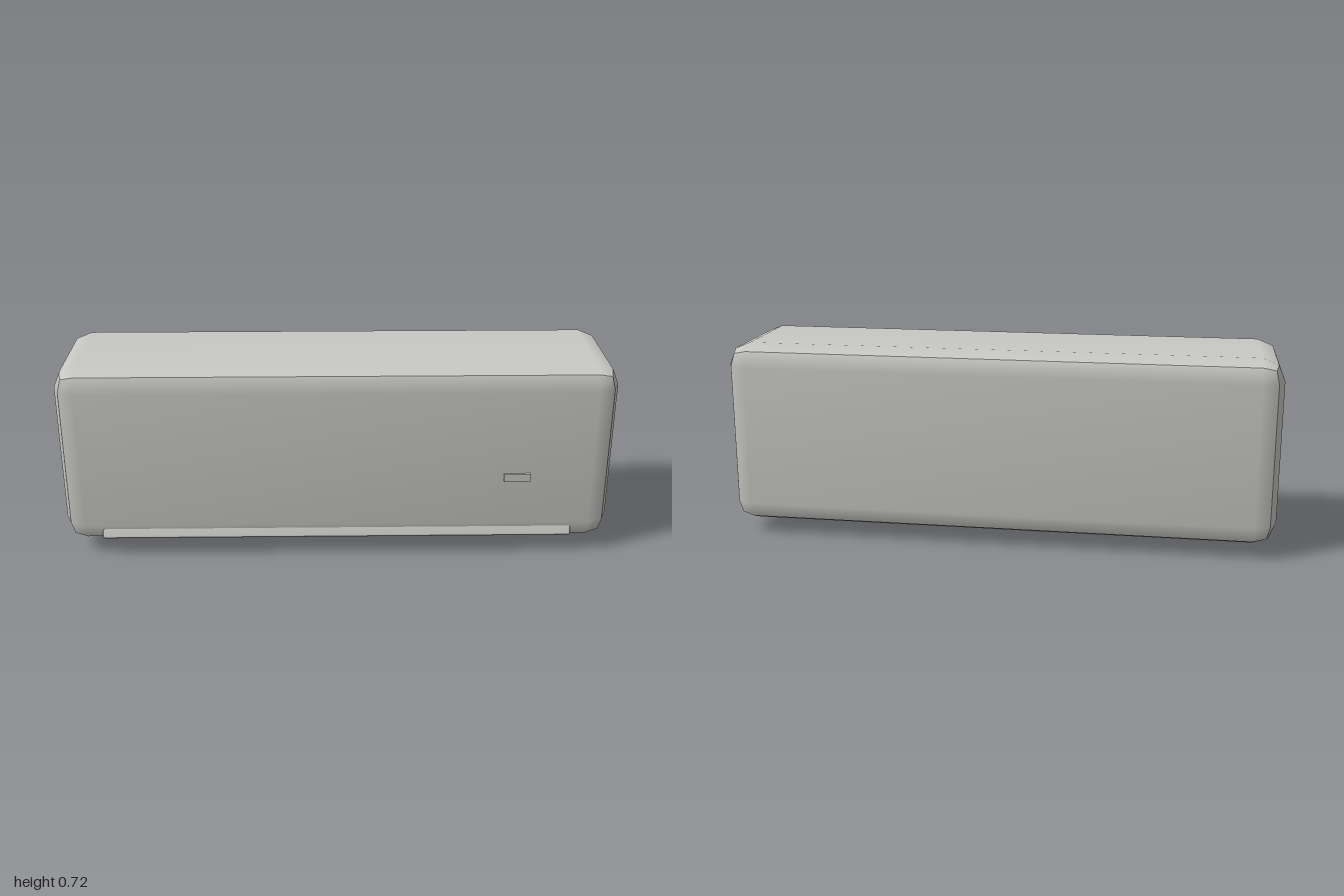
import * as THREE from 'three';

const shell = new THREE.MeshStandardMaterial({ color: 0xc8c8c4 });
shell.name = 'warm light grey';

// Box with two-step rounded edges; each of the six sides keeps its own smooth normals
function softBox(w, h, d, r) {
  const geo = new THREE.BoxGeometry(2, 2, 2, 3, 3, 3);
  const pos = geo.attributes.position;
  const core = new THREE.Vector3(w / 2 - r, h / 2 - r, d / 2 - r);
  const p = new THREE.Vector3();
  const n = new THREE.Vector3();
  for (let i = 0; i < pos.count; i++) {
    p.fromBufferAttribute(pos, i);
    const sign = new THREE.Vector3(Math.sign(p.x), Math.sign(p.y), Math.sign(p.z));
    // Outermost grid rows lean outwards, inner rows stay on the flat panel
    n.set(Math.trunc(p.x * 1.0001), Math.trunc(p.y * 1.0001), Math.trunc(p.z * 1.0001)).normalize();
    p.copy(core).multiply(sign).addScaledVector(n, r);
    pos.setXYZ(i, p.x, p.y, p.z);
  }
  geo.computeVertexNormals();
  return geo;
}

function addPart(group, name, geo, x, y, z) {
  const mesh = new THREE.Mesh(geo, shell);
  mesh.name = name;
  mesh.position.set(x, y, z);
  group.add(mesh);
  return mesh;
}

export function createModel() {
  const group = new THREE.Group();
  group.name = 'wallAirConditioner';

  // Main casing
  addPart(group, 'casing', softBox(2, 0.675, 0.51, 0.08), 0, 0.3825, -0.005);

  // Tilted air outlet flap under the front edge
  const flap = addPart(group, 'outletFlap', softBox(1.72, 0.07, 0.186, 0.008), 0, 0.068, 0.158);
  flap.rotation.x = -0.436;

  // Small display on the front panel
  addPart(group, 'display', new THREE.BoxGeometry(0.095, 0.029, 0.02), 0.648, 0.3125, 0.25);

  return group;
}
